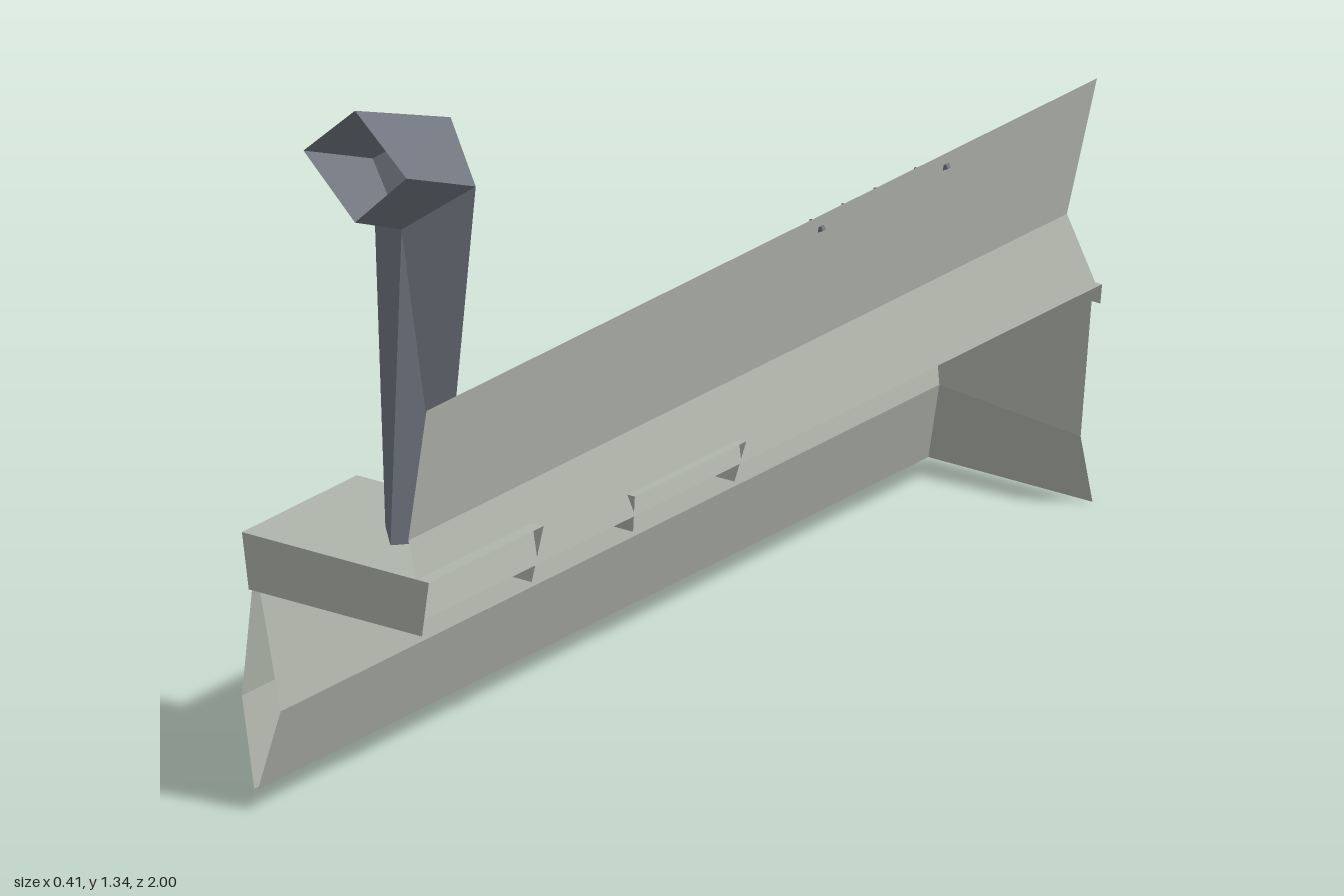
import * as THREE from 'three';

const panel = new THREE.MeshStandardMaterial({ color: 0xb0b5ab, side: THREE.DoubleSide });
panel.name = 'pale grey panel';
const steel = new THREE.MeshStandardMaterial({ color: 0x70757f, side: THREE.DoubleSide });
steel.name = 'blue grey steel';

// Flat-faced sheet lofted between rows of [x, y, z] points.
function sheet(name, rows, material, parent) {
  const pos = [];
  for (let i = 0; i < rows.length - 1; i++) {
    for (let j = 0; j < rows[i].length - 1; j++) {
      const a = rows[i][j], b = rows[i][j + 1], c = rows[i + 1][j + 1], d = rows[i + 1][j];
      pos.push(...a, ...b, ...c, ...a, ...c, ...d);
    }
  }
  const geo = new THREE.BufferGeometry();
  geo.setAttribute('position', new THREE.Float32BufferAttribute(pos, 3));
  geo.computeVertexNormals();
  return add(name, geo, material, parent);
}

function add(name, geo, material, parent) {
  const mesh = new THREE.Mesh(geo, material);
  mesh.name = name;
  parent.add(mesh);
  return mesh;
}

// Profile of [x, y] points placed at one z.
const at = (profile, z) => profile.map(([x, y]) => [x, y, z]);

// Raised hood: flared sides and a top, open below and at the back.
function raisedBox(name, z0, z1, top, flareEnd, parent) {
  const group = new THREE.Group();
  group.name = name;
  const low = 0.375, f = 0.015, e = flareEnd ? f : 0;
  const T = [[0.205, top, z0], [-0.205, top, z0], [-0.205, top, z1], [0.205, top, z1]];
  const B = [[0.19, low, z0 + f], [-0.19, low, z0 + f], [-0.19, low, z1 - e], [0.19, low, z1 - e]];
  sheet(name + 'Sides', [T, B], panel, group);
  sheet(name + 'Top', [[T[0], T[3]], [T[1], T[2]]], panel, group);
  parent.add(group);
}

export function createModel() {
  const model = new THREE.Group();
  model.name = 'kitchenCounter';

  // Creased cabinet front and far end, meeting at a mitred corner
  const frontProfile = [[-0.17, 0], [-0.12, 0.16], [-0.17, 0.4]];
  const corner = [[-0.17, 0, -0.985], [-0.12, 0.16, -0.95], [-0.17, 0.4, -0.985]];
  sheet('cabinetFront', [corner, at(frontProfile, 1)], panel, model);
  sheet('cabinetEnd', [[[0.19, 0, -0.985], [0.19, 0.135, -0.95], [0.19, 0.4, -0.985]], corner], panel, model);

  // Creased back wall
  const wall = [[0.2, 0.41, -0.985], [0.16, 0.55, -0.95], [0.2, 0.805, -0.985]];
  sheet('backWall', [at(wall.map(([x, y]) => [x, y]), 1), wall], panel, model);

  // Worktop pieces with a thin skirt
  for (const [z0, z1] of [[-1, 0.07], [0.38, 0.675]]) {
    sheet('worktop', [at([[0.2, 0.41], [-0.185, 0.41], [-0.18, 0.375]], z1),
      at([[0.2, 0.41], [-0.185, 0.41], [-0.18, 0.375]], z0)], panel, model);
  }
  sheet('worktopEnd', [[[0.2, 0.41, -1], [-0.185, 0.41, -1]], [[0.2, 0.375, -0.995], [-0.18, 0.375, -0.995]]], panel, model);

  // Stove top and chimney base
  raisedBox('stoveTop', 0.06, 0.39, 0.45, true, model);
  raisedBox('chimneyBase', 0.66, 1, 0.48, false, model);

  // Bulging front plates under both
  const bulge = [[-0.178, 0], [-0.205, 0.17], [-0.182, 0.385]];
  sheet('ovenFront', [at(bulge, 0.075), at(bulge, 0.375)], panel, model);
  sheet('chimneyFront', [at(bulge, 0.675), at(bulge, 1)], panel, model);

  // Oven window folded over the bulge, and knobs above it
  const glass = [[-0.185, 0.03], [-0.208, 0.17], [-0.2, 0.25]];
  sheet('ovenWindow', [at(glass, 0.115), at(glass, 0.345)], steel, model);
  for (let i = 0; i < 4; i++) {
    const knob = add('ovenKnob', new THREE.BoxGeometry(0.008, 0.014, 0.014), steel, model);
    knob.position.set(-0.192, 0.315, 0.13 + i * 0.065);
  }

  // Grill plate with a grid of holes
  const s = new THREE.Shape();
  const w = 0.165, h = 0.143, c = 0.04;
  [[-w, -h + c], [-w + c, -h], [w - c, -h], [w, -h + c], [w, h - c], [w - c, h], [-w + c, h], [-w, h - c]]
    .forEach(([x, y], i) => (i ? s.lineTo(x, y) : s.moveTo(x, y)));
  for (let i = 0; i < 4; i++) {
    for (let j = 0; j < 4; j++) {
      s.holes.push(new THREE.Path().absarc(-0.105 + i * 0.07, -0.096 + j * 0.064, 0.018, 0, Math.PI * 2, true));
    }
  }
  const grill = add('grill', new THREE.ExtrudeGeometry(s, { depth: 0.003, bevelEnabled: false, curveSegments: 3 }), steel, model);
  grill.rotation.x = -Math.PI / 2;
  grill.position.set(0, 0.45, 0.228);

  // Diamond-section chimney: foot, elbow and open mouth
  const ring = (r, back, side, front) => [
    [0.043, ...back], [0.043 + r, ...side], [0.043, ...front], [0.043 - r, ...side], [0.043, ...back]];
  sheet('chimney', [
    ring(0.063, [0.478, 0.765], [0.478, 0.825], [0.478, 0.895]),
    ring(0.113, [1.235, 0.717], [1.155, 0.795], [1.068, 0.862]),
    ring(0.113, [1.337, 1], [1.235, 1], [1.125, 1]),
  ], steel, model);

  // Utensil rail on two pins
  const rack = new THREE.Group();
  rack.name = 'utensilRack';
  model.add(rack);
  const rail = add('rail', new THREE.BoxGeometry(0.01, 0.014, 0.44), steel, rack);
  rail.position.set(0.152, 0.757, -0.36);
  for (const z of [-0.54, -0.17]) {
    const pin = add('railPin', new THREE.BoxGeometry(0.055, 0.009, 0.009), steel, rack);
    pin.position.set(0.179, 0.769, z);
    pin.rotation.z = 0.45;
  }

  // Hanging utensils: bent handles with different heads
  const handle = [[0.15, 0.77], [0.136, 0.7], [0.142, 0.64], [0.15, 0.585]];
  for (const z of [-0.52, -0.4, -0.305, -0.21]) {
    const path = new THREE.CatmullRomCurve3(at(handle, z).map((p) => new THREE.Vector3(...p)));
    add('utensilHandle', new THREE.TubeGeometry(path, 6, 0.006, 4), steel, rack);
  }
  const blade = (name, z, top, bottom, yLow) => sheet(name, [
    [[0.15, 0.59, z - top], [0.15, 0.59, z + top]],
    [[0.125, yLow, z - bottom], [0.125, yLow, z + bottom]]], steel, rack);
  blade('forkHead', -0.52, 0.008, 0.018, 0.54);
  blade('wideSpatula', -0.4, 0.02, 0.045, 0.5);
  blade('narrowSpatula', -0.305, 0.012, 0.024, 0.5);
  const cup = add('ladleCup', new THREE.ConeGeometry(0.045, 0.06, 4, 1, true), steel, rack);
  cup.scale.x = 0.4;
  cup.rotation.x = Math.PI;
  cup.position.set(0.142, 0.565, -0.21);

  return model;
}
